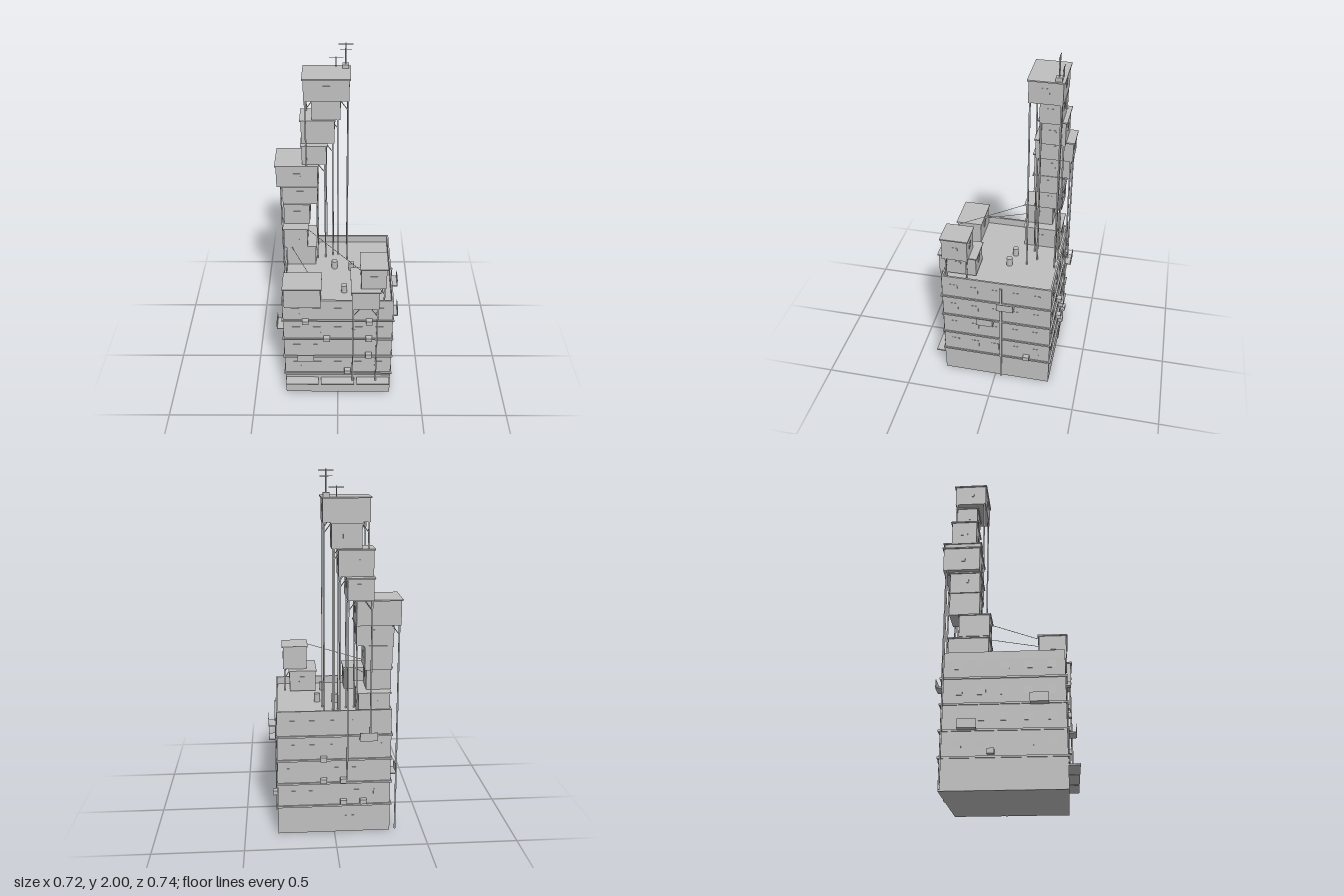
import * as THREE from 'three';

export function createModel() {
  const root = new THREE.Group();
  root.name = 'stackedRooftopTower';
  const concrete = new THREE.MeshStandardMaterial({ color: 0xbfbfbf });
  concrete.name = 'concreteGrey';

  const add = (name, geometry, parent = root) => {
    const mesh = new THREE.Mesh(geometry, concrete);
    mesh.name = name;
    parent.add(mesh);
    return mesh;
  };
  // box given by its limits on each axis
  const box = (name, x0, x1, y0, y1, z0, z1, parent) => {
    const mesh = add(name, new THREE.BoxGeometry(x1 - x0, y1 - y0, z1 - z0), parent);
    mesh.position.set((x0 + x1) / 2, (y0 + y1) / 2, (z0 + z1) / 2);
    return mesh;
  };
  // thin rod between two points
  const rod = (name, a, b, r, parent) => {
    const p = new THREE.Vector3(...a), q = new THREE.Vector3(...b);
    const mesh = add(name, new THREE.CylinderGeometry(r, r, p.distanceTo(q), 6), parent);
    mesh.position.copy(p).add(q).multiplyScalar(0.5);
    mesh.quaternion.setFromUnitVectors(new THREE.Vector3(0, 1, 0), q.sub(p).normalize());
    return mesh;
  };

  // main block with sunken roof
  const X0 = -0.313, X1 = 0.315, Z0 = -0.326, Z1 = 0.31, TOP = 0.725, DECK = 0.68;
  box('mainBlock', X0, X1, 0, DECK, Z0, Z1);
  box('parapetFront', X0, X1, DECK, TOP, Z1 - 0.01, Z1);
  box('parapetBack', X0, X1, DECK, TOP, Z0, Z0 + 0.01);
  box('parapetLeft', X1 - 0.01, X1, DECK, TOP, Z0 + 0.01, Z1 - 0.01);
  box('parapetRight', X0, X0 + 0.01, DECK, TOP, Z0 + 0.01, Z1 - 0.01);
  for (const y of [0.165, 0.302, 0.44, 0.58])
    box('floorLedge', X0 - 0.007, X1 + 0.007, y - 0.005, y + 0.005, Z0 - 0.01, Z1 + 0.009);
  box('shopFascia', X0, X1, 0.132, 0.15, Z1, Z1 + 0.006);

  // shop awnings
  for (const [a, b] of [[-0.31, -0.115], [-0.1, 0.098], [0.113, 0.308]])
    box('awning', a, b, 0.118, 0.126, Z1, 0.368);

  // side frames: local +z points out of the wall, local x runs along it
  const side = (name, px, pz, angle) => {
    const g = new THREE.Group();
    g.name = name;
    g.position.set(px, 0, pz);
    g.rotation.y = angle;
    root.add(g);
    return g;
  };
  const front = side('frontWall', 0, Z1, 0);
  const back = side('backWall', 0, Z0, Math.PI);
  const left = side('leftWall', X1, 0, Math.PI / 2);
  const right = side('rightWall', X0, 0, -Math.PI / 2);

  // thin window plates on every storey
  for (const wall of [front, back, left, right])
    for (const y of [0.235, 0.372, 0.51, 0.65])
      for (const u of [-0.24, -0.12, 0.0, 0.12, 0.24])
        box('window', u - 0.022, u + 0.022, y - 0.022, y + 0.022, -0.002, 0.002, wall);
  box('backDoor', 0.06, 0.11, 0, 0.1, 0, 0.004, back);

  // air conditioners: wall, distance along the wall, height
  const coolers = [
    [front, -0.185, 0.58], [front, -0.063, 0.45], [front, 0.18, 0.58], [front, 0.18, 0.45],
    [front, 0.18, 0.32], [front, 0.057, 0.19], [left, 0.19, 0.19], [right, -0.07, 0.19],
    [back, -0.06, 0.45], [back, -0.06, 0.32], [back, 0.05, 0.32], [back, 0.05, 0.19], [back, 0.16, 0.19],
  ];
  for (const [wall, u, y] of coolers)
    box('airConditioner', u - 0.018, u + 0.018, y - 0.013, y + 0.013, 0, 0.027, wall);

  // balconies: floor slab and front panel
  const balconies = [[front, -0.187, 0.302], [left, 0.067, 0.562], [left, -0.053, 0.43],
    [right, -0.19, 0.302], [right, 0.175, 0.432], [back, 0.184, 0.562]];
  for (const [wall, u, y] of balconies) {
    box('balconyFloor', u - 0.048, u + 0.048, y, y + 0.006, 0, 0.047, wall);
    box('balconyPanel', u - 0.048, u + 0.048, y, y + 0.048, 0.044, 0.047, wall);
  }
  box('drainPipe', 0.03, 0.042, 0, 0.69, 0, 0.011, left);

  // huts with overhanging thin roofs, windows and doors
  const hut = (name, x0, x1, y0, y1, z0, z1) => {
    const g = new THREE.Group();
    g.name = name;
    root.add(g);
    box('hutWalls', x0, x1, y0, y1 - 0.007, z0, z1, g);
    const o = 0.007;
    box('hutRoof', x0 - o, x1 + o, y1 - 0.007, y1, z0 - o, z1 + o, g);
    const cx = (x0 + x1) / 2, cz = (z0 + z1) / 2, y = y0 + 0.07;
    box('hutWindowsFrontBack', cx - 0.02, cx + 0.02, y - 0.018, y + 0.018, z0 - 0.002, z1 + 0.002, g);
    box('hutWindowsSides', x0 - 0.002, x1 + 0.002, y - 0.018, y + 0.018, cz - 0.02, cz + 0.02, g);
  };
  hut('frontRightHut', -0.303, -0.097, DECK, 0.815, 0.177, 0.318);
  hut('frontLeftLowerHut', 0.08, 0.233, 0.69, 0.815, 0.127, 0.343);
  hut('frontLeftUpperHut', 0.13, 0.27, 0.815, 0.955, 0.167, 0.315);
  hut('towerHut1', -0.305, -0.132, DECK, 0.815, -0.3, -0.087);
  hut('towerHut2', -0.317, -0.18, 0.815, 0.943, -0.245, -0.082);
  hut('towerHut3', -0.313, -0.165, 0.943, 1.08, -0.3, -0.137);
  hut('towerHut4', -0.32, -0.118, 1.08, 1.197, -0.3, -0.137);
  hut('towerHut5', -0.352, -0.115, 1.197, 1.337, -0.336, -0.137);
  hut('towerHut6', -0.203, -0.065, 1.337, 1.457, -0.358, -0.15);
  hut('towerHut7', -0.205, -0.02, 1.457, 1.6, -0.318, -0.175);
  hut('towerHut8', -0.145, 0.015, 1.6, 1.735, -0.3, -0.18);
  hut('towerHut9', -0.185, 0.062, 1.735, 1.863, -0.306, -0.127);

  // stilts: x, z, bottom, top, direction of the brace along x
  const stilts = [
    [-0.178, -0.135, 1.337, 1.735, 1], [0.055, -0.135, DECK, 1.735, -1], [0.055, -0.298, DECK, 1.735, -1],
    [-0.178, -0.298, 1.6, 1.735, 1],
    [0.0, -0.187, DECK, 1.6, -1], [0.0, -0.295, DECK, 1.6, -1],
    [-0.03, -0.183, DECK, 1.457, -1], [-0.03, -0.308, DECK, 1.457, -1],
    [-0.075, -0.16, DECK, 1.337, -1], [-0.07, -0.345, 0.33, 1.337, -1], [-0.195, -0.345, 0.565, 1.337, 1],
    [-0.345, -0.315, 0, 1.197, 1], [-0.122, -0.15, DECK, 1.197, -1], [-0.122, -0.292, DECK, 1.197, -1],
    [-0.312, -0.142, 0.943, 1.08, 1],
    [0.087, 0.336, 0.125, 0.69, 1], [0.225, 0.336, 0.125, 0.69, -1],
    [0.262, 0.175, DECK, 0.815, -1], [0.262, 0.295, DECK, 0.815, -1],
  ];
  for (const [x, z, y0, y1, d] of stilts) {
    box('stilt', x - 0.004, x + 0.004, y0, y1, z - 0.004, z + 0.004);
    rod('brace', [x, y1 - 0.055, z], [x + d * 0.04, y1, z], 0.0025);
  }

  // roof vents
  for (const [x, z] of [[-0.02, -0.055], [0.08, -0.037], [0.037, 0.172]]) {
    const vent = add('roofVent', new THREE.CylinderGeometry(0.017, 0.017, 0.05, 12));
    vent.position.set(x, DECK + 0.025, z);
  }

  // washing lines
  rod('lowerLine', [-0.272, 0.81, -0.08], [-0.165, 0.81, 0.175], 0.0015);
  rod('upperLine', [-0.173, 0.94, -0.078], [0.125, 0.935, 0.3], 0.0015);

  // aerials
  box('aerialBase', 0.025, 0.059, 1.863, 1.885, -0.297, -0.263);
  rod('tallMast', [0.042, 1.88, -0.28], [0.042, 2, -0.28], 0.004);
  rod('crossbar', [0.003, 1.994, -0.28], [0.081, 1.994, -0.28], 0.002);
  rod('crossbar', [0.01, 1.965, -0.28], [0.075, 1.965, -0.28], 0.002);
  rod('shortMast', [-0.01, 1.863, -0.295], [-0.01, 1.918, -0.295], 0.003);
  rod('crossbar', [-0.048, 1.911, -0.295], [0.03, 1.911, -0.295], 0.002);
  return root;
}
